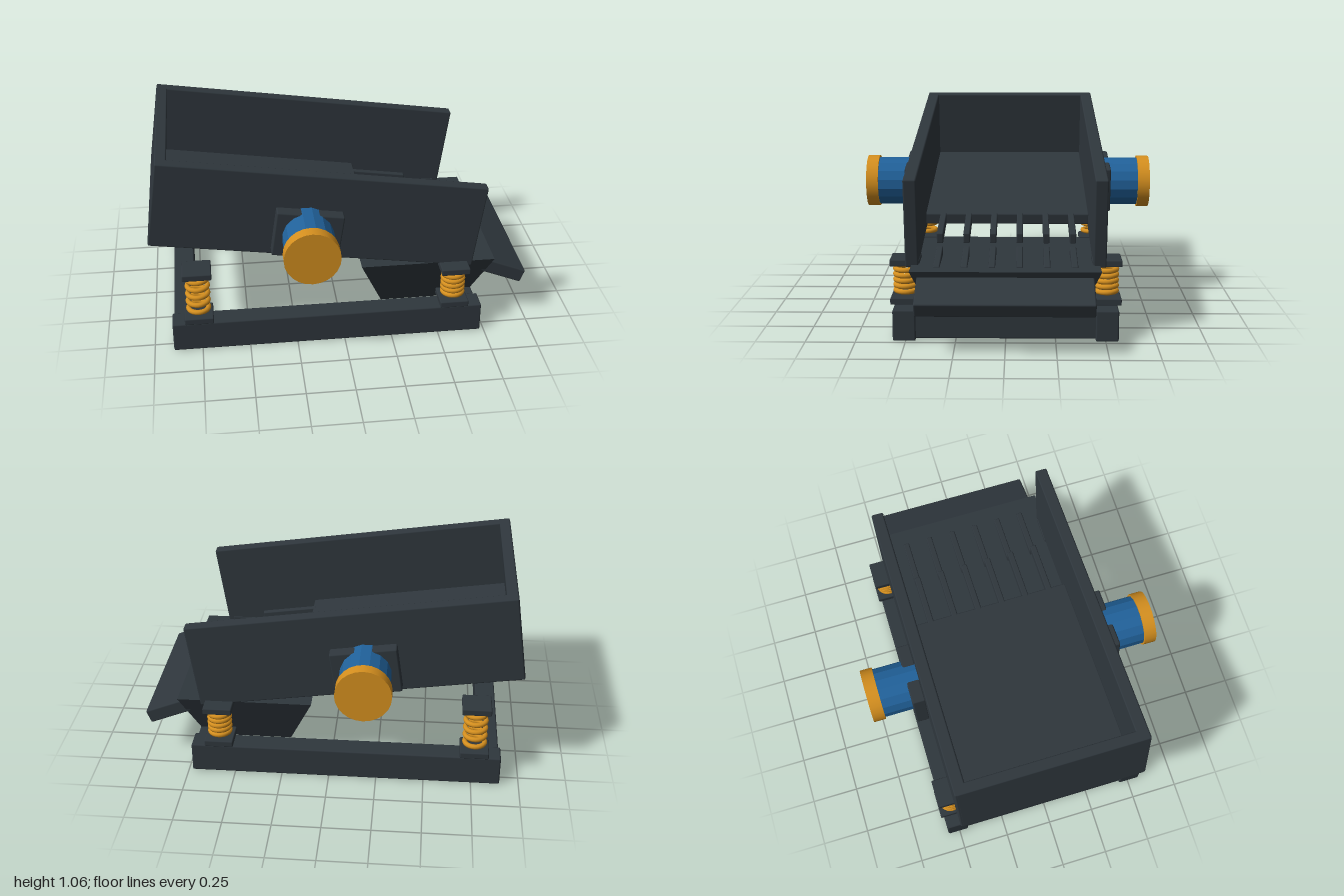
import * as THREE from 'three';
import { RoundedBoxGeometry } from 'three/addons/geometries/RoundedBoxGeometry.js';

export function createModel() {
  const model = new THREE.Group();
  model.name = 'vibratingFeeder';

  const material = (name, color, flatShading = false) => {
    const m = new THREE.MeshStandardMaterial({ color, flatShading });
    m.name = name;
    return m;
  };
  const steel = material('dark steel', 0x2f373d);
  const blue = material('motor blue', 0x21629b, true);
  const amber = material('amber', 0xd6901f);

  const add = (parent, name, geometry, mat, x, y, z) => {
    const mesh = new THREE.Mesh(geometry, mat);
    mesh.name = name;
    mesh.position.set(x, y, z);
    parent.add(mesh);
    return mesh;
  };
  // Steel block with a slight bevel
  const block = (parent, name, w, h, d, x, y, z) =>
    add(parent, name, new RoundedBoxGeometry(w, h, d, 1, Math.min(0.008, w / 6, h / 6, d / 6)), steel, x, y, z);

  // Base frame: two long rails and two cross beams
  const frame = new THREE.Group();
  frame.name = 'baseFrame';
  model.add(frame);
  for (const s of [1, -1]) block(frame, 'sideRail', 1.63, 0.16, 0.115, -0.085, 0.08, s * 0.507);
  for (const x of [-0.835, 0.66]) block(frame, 'crossBeam', 0.11, 0.14, 0.92, x, 0.08, 0);

  // Spring stacks: five rings between two square plates
  const ring = new THREE.TorusGeometry(0.052, 0.0135, 8, 24).rotateX(Math.PI / 2);
  const addSpring = (x, z, topPlateY) => {
    const spring = new THREE.Group();
    spring.name = 'spring';
    spring.position.set(x, 0, z);
    model.add(spring);
    block(spring, 'lowerSpringPlate', 0.15, 0.035, 0.15, 0, 0.183, 0);
    block(spring, 'upperSpringPlate', 0.15, 0.035, 0.15, 0, topPlateY, 0);
    const first = 0.227, last = topPlateY - 0.043;
    for (let i = 0; i < 5; i++)
      add(spring, 'springCoil', ring, amber, 0, first + (last - first) * i / 4, 0);
  };
  for (const s of [1, -1]) {
    addSpring(-0.76, s * 0.507, 0.448);
    addSpring(0.58, s * 0.507, 0.382);
  }

  // Tilted trough
  const trough = new THREE.Group();
  trough.name = 'trough';
  trough.position.set(-0.125, 0.715, 0);
  trough.rotation.z = -0.143;
  model.add(trough);
  for (const s of [1, -1]) block(trough, 'sideWall', 1.69, 0.46, 0.065, 0, 0, s * 0.468);
  block(trough, 'backWall', 0.06, 0.46, 0.985, -0.816, 0, 0);
  block(trough, 'floorPlate', 1.115, 0.06, 0.88, -0.24, -0.171, 0);

  // Stepped grizzly bars past the floor plate
  for (let i = 0; i < 6; i++) {
    const z = (i - 2.5) * 0.137;
    block(trough, 'upperBar', 0.31, 0.055, 0.033, 0.455, -0.1675, z);
    block(trough, 'lowerBar', 0.27, 0.055, 0.033, 0.755, -0.2325, z);
  }

  // Vibrator motors on tilted mounts, one per side
  for (const s of [1, -1]) {
    const motor = new THREE.Group();
    motor.name = s > 0 ? 'frontMotor' : 'backMotor';
    motor.position.set(-0.19, 0.645, 0);
    model.add(motor);
    block(motor, 'motorMount', 0.345, 0.245, 0.07, 0, 0, s * 0.532).rotation.z = -0.143;
    const body = new THREE.CylinderGeometry(0.132, 0.132, 0.225, 16).rotateX(Math.PI / 2).rotateZ(Math.PI / 16);
    add(motor, 'motorBody', body, blue, 0, 0, s * 0.6125);
    const cap = new THREE.CylinderGeometry(0.142, 0.142, 0.065, 24).rotateX(Math.PI / 2);
    add(motor, 'motorCap', cap, amber, 0, 0, s * 0.7535);
  }

  // Hopper block, tapered towards its bottom
  const hopper = new THREE.BoxGeometry(0.71, 0.29, 0.94);
  const p = hopper.attributes.position;
  for (let i = 0; i < p.count; i++)
    if (p.getY(i) < 0) p.setXYZ(i, p.getX(i) * 0.65, p.getY(i), p.getZ(i) * 0.745);
  hopper.computeVertexNormals();
  add(model, 'underHopper', hopper, steel, 0.455, 0.235, 0);

  // Sloped discharge lip
  block(model, 'dischargeLip', 0.27, 0.075, 0.87, 0.857, 0.285, 0).rotation.z = -0.38;

  return model;
}
